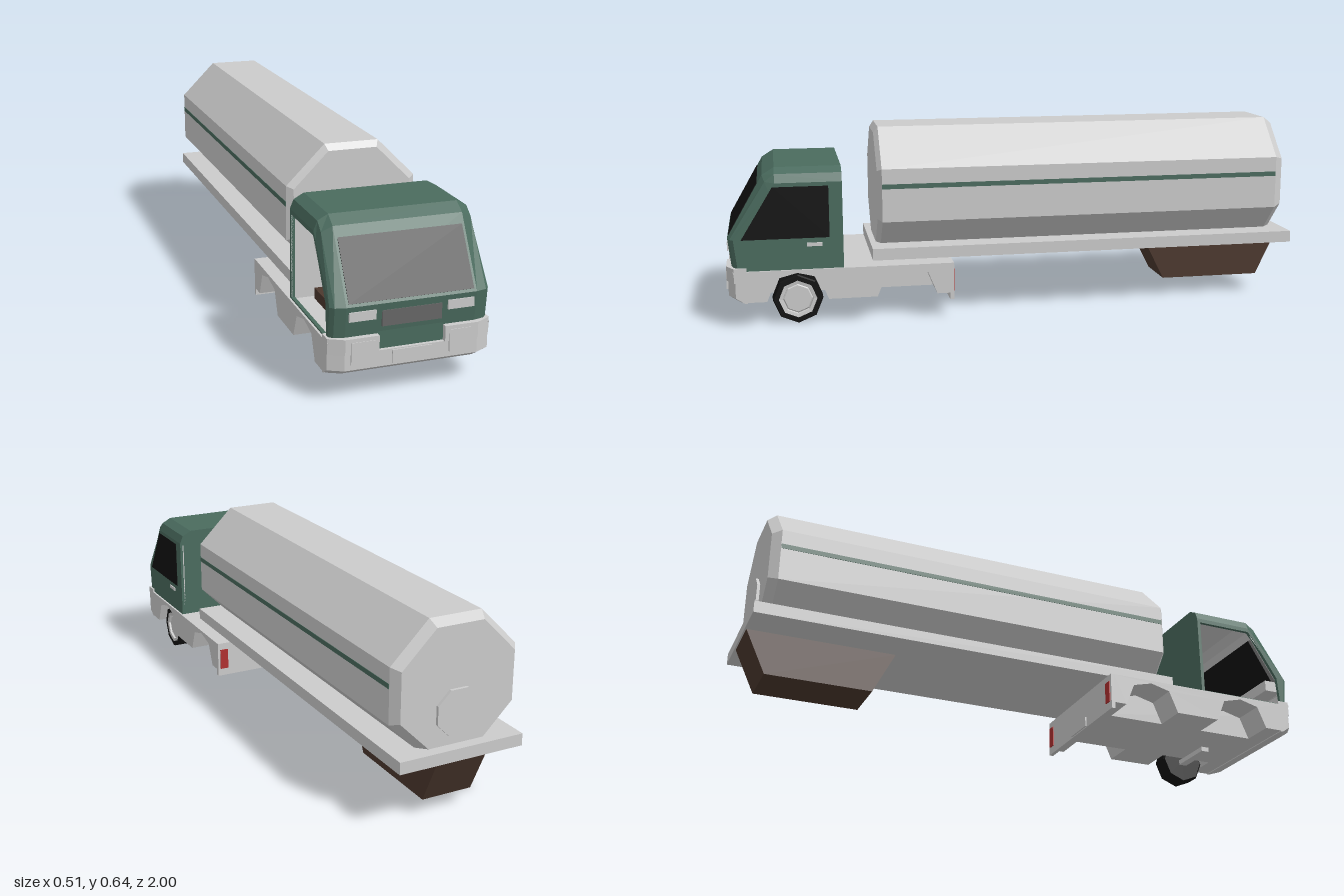
import * as THREE from 'three';

const mat = (color) => new THREE.MeshStandardMaterial({ color, flatShading: true, side: THREE.DoubleSide });
const GREY = mat(0xcccccc), GREEN = mat(0x4a6b5e), BLACK = mat(0x111111),
  DARK = mat(0x666666), BROWN = mat(0x4c382e), RED = mat(0xb03030);

export function createModel() {
  const root = new THREE.Group();
  const add = (name, geo, m = GREY) => {
    const mesh = new THREE.Mesh(geo, m);
    mesh.name = name;
    root.add(mesh);
    return mesh;
  };
  // Box from its limits
  const box = (name, x0, x1, y0, y1, z0, z1, m) =>
    add(name, new THREE.BoxGeometry(x1 - x0, y1 - y0, z1 - z0)
      .translate((x0 + x1) / 2, (y0 + y1) / 2, (z0 + z1) / 2), m);
  const shapeOf = (pts) => new THREE.Shape(pts.map(([a, b]) => new THREE.Vector2(a, b)));
  // Side profile of [z, y] points, extruded from x0 to x1
  const side = (pts, x0, x1, hole) => {
    const s = shapeOf(pts);
    if (hole) s.holes.push(shapeOf(hole));
    return new THREE.ExtrudeGeometry(s, { depth: x1 - x0, bevelEnabled: false })
      .rotateY(-Math.PI / 2).translate(x1, 0, 0);
  };
  // Plan of [x, z] points, extruded from y0 to y1
  const plan = (pts, y0, y1) =>
    new THREE.ExtrudeGeometry(shapeOf(pts.map(([x, z]) => [x, -z])), { depth: y1 - y0, bevelEnabled: false })
      .rotateX(-Math.PI / 2).translate(0, y0, 0);

  // Tank: octagonal barrel with bevelled ends
  const oct = 1 / Math.cos(Math.PI / 8);
  const tank = new THREE.LatheGeometry([[0, -0.963], [0.197, -0.963], [0.219, -0.933], [0.219, 0.475], [0.198, 0.49], [0, 0.49]]
    .map(([r, z]) => new THREE.Vector2(r * oct, z)), 8, Math.PI / 8);
  add('tank', tank.rotateX(Math.PI / 2).translate(0, 0.422, 0));
  add('tankHatch', new THREE.CylinderGeometry(0.08, 0.08, 0.02, 8, 1, false, Math.PI / 8)
    .rotateX(Math.PI / 2).translate(0, 0.345, -0.963));
  for (const s of [-1, 1]) {
    box('tankStripe', s * 0.219 - 0.0015, s * 0.219 + 0.0015, 0.445, 0.461, -0.932, 0.475, GREEN);
  }
  box('platform', -0.217, 0.217, 0.2, 0.24, -1, 0.51);
  add('underTray', side([[-0.49, 0.2], [-0.995, 0.2], [-0.925, 0.053], [-0.565, 0.053]], -0.087, 0.087), BROWN);

  // Chassis: centre block and side skirts with wheel arches
  box('chassisCentre', -0.14, 0.14, 0.085, 0.19, 0.25, 0.96);
  const skirt = [[0.25, 0.19], [0.25, 0.085]];
  for (const c of [0.398, 0.765]) {
    for (const [dz, y] of [[-0.102, 0.085], [-0.07, 0.162], [0, 0.18], [0.07, 0.162], [0.102, 0.085]]) skirt.push([c + dz, y]);
  }
  skirt.push([0.945, 0.085], [0.975, 0.19]);
  for (const s of [-1, 1]) {
    add('sideSkirt', side(skirt, s > 0 ? 0.14 : -0.257, s > 0 ? 0.257 : -0.14));
  }

  // Tail panel, lamps and plate
  box('tailPanel', -0.257, 0.257, 0.062, 0.19, 0.238, 0.252);
  box('rearPlate', -0.06, 0.06, 0.066, 0.1, 0.233, 0.24);
  for (const s of [-1, 1]) {
    box('tailLamp', s * 0.233 - 0.015, s * 0.233 + 0.015, 0.09, 0.165, 0.234, 0.24, RED);
  }

  // Front bumper with a notch in the middle and a raked lower edge
  const bumperPlan = [[-0.257, 0.93], [0.257, 0.93], [0.257, 0.968], [0.21, 0.992], [-0.21, 0.992], [-0.257, 0.968]];
  add('bumperCentre', plan(bumperPlan, 0.102, 0.153));
  for (const s of [-1, 1]) {
    add('bumperSide', plan([[s * 0.104, 0.93], [s * 0.257, 0.93], [s * 0.257, 0.972], [s * 0.21, 0.997], [s * 0.104, 0.997]], 0.153, 0.202));
    box('fogLamp', s * 0.155 - 0.037, s * 0.155 + 0.037, 0.12, 0.19, 0.98, 0.999);
  }
  const lip = plan(bumperPlan, 0.082, 0.102);
  const lp = lip.attributes.position;
  for (let i = 0; i < lp.count; i++) {
    if (lp.getY(i) < 0.09 && lp.getZ(i) > 0.94) lp.setZ(i, lp.getZ(i) - 0.03);
  }
  lip.computeVertexNormals();
  add('bumperLip', lip);
  box('frontPlate', -0.062, 0.062, 0.107, 0.15, 0.985, 0.996);

  // Cab shell: the side profile drawn across x, pulled in at the outer edges
  const base = [[0.61, 0.19], [0.61, 0.53], [0.83, 0.53], [0.87, 0.505], [0.99, 0.297], [0.978, 0.19]];
  const ring = (top, front, inset = 0) => base.map(([z, y]) => [
    z > 0.85 ? z - front - inset : z < 0.7 ? z + inset : z,
    y > 0.45 ? y - top - inset : y]);
  const shell = (inset) => {
    const half = [[0.25, 0.047, 0.02], [0.238, 0.018, 0.008], [0.205, 0, 0]];
    const rows = [...half.map(([x, t, f]) => [-x, ring(t, f, inset)]),
      ...half.slice().reverse().map(([x, t, f]) => [x, ring(t, f, inset)])];
    const pos = [], idx = [], n = base.length;
    rows.forEach(([x, pts]) => pts.forEach(([z, y]) => pos.push(x, y, z)));
    for (let r = 0; r < rows.length - 1; r++) {
      for (let i = 0; i < n - 1; i++) {
        const a = r * n + i, b = a + n;
        idx.push(a, a + 1, b, b, a + 1, b + 1);
      }
    }
    let g = new THREE.BufferGeometry();
    g.setAttribute('position', new THREE.Float32BufferAttribute(pos, 3));
    g.setIndex(idx);
    g = g.toNonIndexed();
    g.computeVertexNormals();
    return g;
  };
  add('cabShell', shell(0), GREEN);
  add('cabLining', shell(0.012));
  const wall = ring(0.047, 0.02);
  add('leftDoor', side(wall, 0.24, 0.25), GREEN);
  add('leftDoorLining', side(ring(0.055, 0.03), 0.236, 0.24));
  add('rightDoorFrame', side(wall, -0.25, -0.238,
    [[0.622, 0.195], [0.622, 0.468], [0.828, 0.468], [0.85, 0.44], [0.938, 0.297], [0.945, 0.195]]), GREEN);
  add('sideWindow', side([[0.945, 0.296], [0.655, 0.296], [0.655, 0.47], [0.838, 0.47]], 0.233, 0.2515), BLACK);
  box('doorHandle', 0.245, 0.254, 0.268, 0.28, 0.68, 0.73);
  box('noseCentre', -0.104, 0.104, 0.15, 0.21, 0.95, 0.98, GREEN);

  // Windscreen follows the slope of the cab front
  const windscreen = add('windscreen', new THREE.BoxGeometry(0.394, 0.196, 0.03), BLACK);
  windscreen.rotation.x = -0.523;
  windscreen.position.set(0, 0.3835, 0.925);

  // Grille and headlights
  box('grille', -0.094, 0.094, 0.226, 0.275, 0.97, 0.99, DARK);
  for (const s of [-1, 1]) {
    box('headlight', s * 0.155 - 0.042, s * 0.155 + 0.042, 0.252, 0.281, 0.97, 0.992);
  }

  // Cab interior
  box('dashboard', -0.23, 0.235, 0.25, 0.29, 0.9, 0.965);
  box('seat', -0.18, 0.2, 0.19, 0.225, 0.64, 0.76, BROWN);

  // Single front wheel: eight-sided tyre, rim and hub, with a stub axle
  const wheel = new THREE.Group();
  wheel.name = 'frontWheel';
  const lathe = (name, pts, m) => {
    const g = new THREE.LatheGeometry(pts.map(([r, x]) => new THREE.Vector2(r, x)), 8).rotateZ(-Math.PI / 2);
    const mesh = new THREE.Mesh(g, m);
    mesh.name = name;
    wheel.add(mesh);
  };
  lathe('tyre', [[0, -0.034], [0.078, -0.034], [0.084, -0.028], [0.084, 0.028], [0.08, 0.034], [0.064, 0.034], [0.06, 0.02]], BLACK);
  lathe('rim', [[0.064, 0.034], [0.052, 0.032], [0.05, 0.02]], GREY);
  lathe('hub', [[0.052, 0.02], [0.046, 0.026], [0, 0.026]], GREY);
  wheel.position.set(0.201, 0.084, 0.765);
  root.add(wheel);
  box('axle', 0, 0.17, 0.068, 0.086, 0.75, 0.78);

  return root;
}
